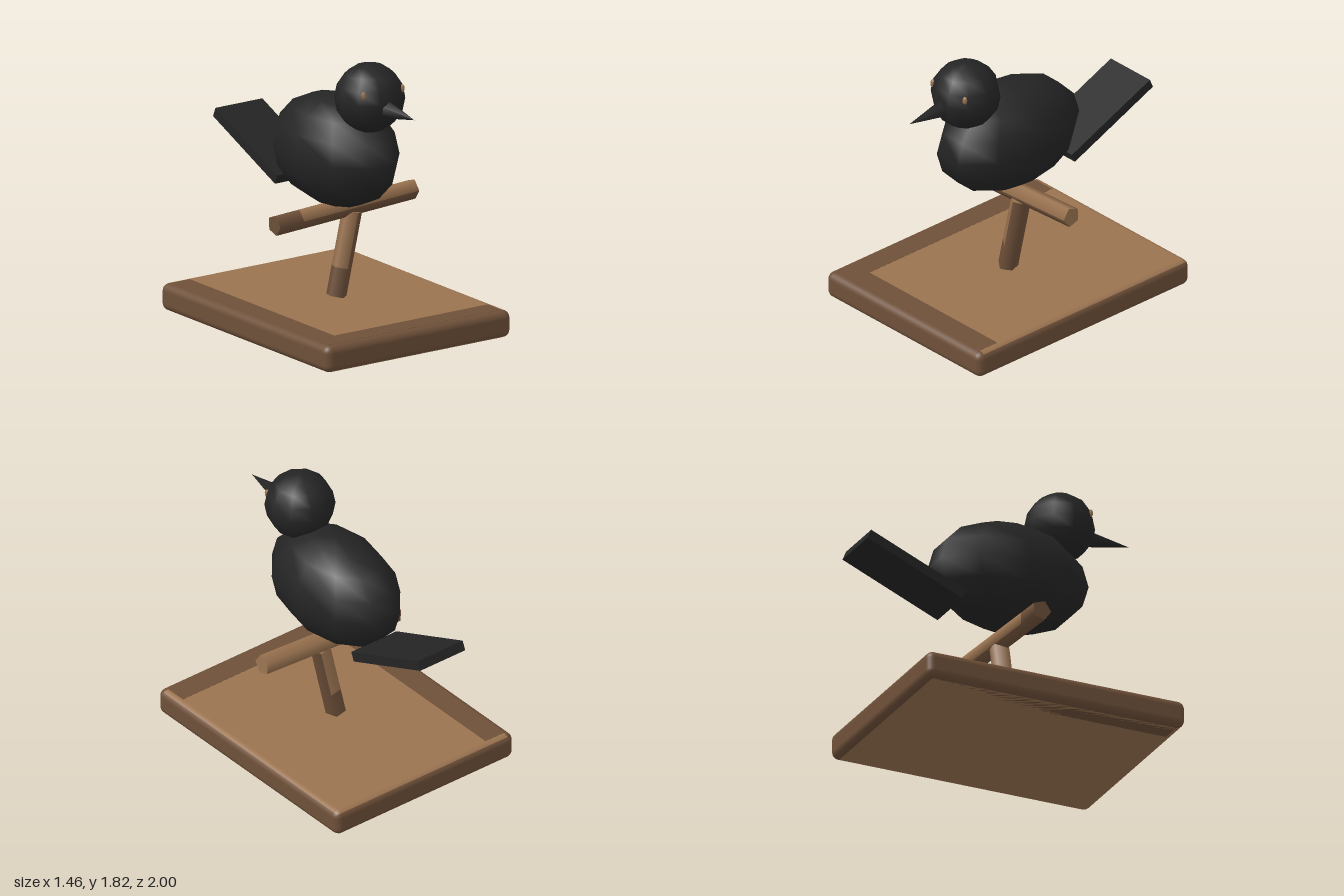
import * as THREE from 'three';
import { RoundedBoxGeometry } from 'three/addons/geometries/RoundedBoxGeometry.js';

const material = (name, color) => {
  const m = new THREE.MeshStandardMaterial({ color });
  m.name = name;
  return m;
};

export function createModel() {
  const black = material('black feathers', 0x242424);
  const light = material('light wood', 0x9a7350);
  const dark = material('dark wood', 0x6e5039);
  const model = new THREE.Group();
  model.name = 'birdOnPerch';

  function add(name, geometry, mat, position = [0, 0, 0], parent = model) {
    const mesh = new THREE.Mesh(geometry, mat);
    mesh.name = name;
    mesh.position.set(...position);
    parent.add(mesh);
    return mesh;
  }

  // Base slab: light top and bottom, dark sides and two dark borders on each
  const slab = new RoundedBoxGeometry(1.46, 0.18, 1.83, 3, 0.05);
  slab.translate(0, 0.09, 0.085);
  const faces = slab.groups.map((g) => ({ ...g }));
  const p = slab.attributes.position;
  slab.clearGroups();
  faces.forEach((face, side) => {
    for (let i = face.start; i < face.start + face.count; i += 3) {
      const x = (p.getX(i) + p.getX(i + 1) + p.getX(i + 2)) / 3;
      const z = (p.getZ(i) + p.getZ(i + 1) + p.getZ(i + 2)) / 3;
      const isLight = x > -0.68 && ((side === 2 && z < 0.95) || (side === 3 && z > -0.78));
      slab.addGroup(i, 3, isLight ? 0 : 1);
    }
  });
  add('base', slab, [light, dark]);
  for (const [name, y, z] of [['top', 0.18, 0.875], ['bottom', 0.001, -0.705]]) {
    add(name + 'SideBorder', new THREE.BoxGeometry(0.15, 0.002, 1.73), dark, [-0.605, y, 0.085]);
    add(name + 'EndBorder', new THREE.BoxGeometry(1.21, 0.002, 0.15), dark, [0.075, y, z]);
  }

  // Five-sided stick along +y, dark at its foot and on one side
  function stick(name, length, position, tilt) {
    const r = 0.068, foot = 0.19, step = Math.PI * 2 / 5;
    const group = new THREE.Group();
    group.name = name;
    const part = (label, h, y, sides, first, mat) => add(label,
      new THREE.CylinderGeometry(r, r, h, sides, 1, true, first * step, sides * step), mat, [0, y, 0], group);
    part(name + 'Foot', foot, foot / 2, 5, 0, dark);
    part(name + 'DarkSide', length - foot, (length + foot) / 2, 2, 0, dark);
    part(name + 'LightSide', length - foot, (length + foot) / 2, 3, 2, light);
    const cap = new THREE.CircleGeometry(r, 5, Math.PI / 2);
    add(name + 'StartCap', cap.clone().rotateX(Math.PI / 2), dark, [0, 0, 0], group);
    add(name + 'EndCap', cap.clone().rotateZ(Math.PI).rotateX(-Math.PI / 2), light, [0, length, 0], group);
    group.position.set(...position);
    group.rotation.z = tilt;
    model.add(group);
  }
  stick('post', 0.56, [0, 0.185, 0.088], -0.225);
  stick('branch', 1.097, [-0.49, 0.737, 0.088], -Math.PI / 2 + 0.055);

  // Bird body, head and beak
  add('body', new THREE.SphereGeometry(1, 10, 8), black, [0, 1.165, 0.085]).scale.set(0.33, 0.365, 0.55);
  add('head', new THREE.SphereGeometry(0.228, 10, 8), black, [0, 1.595, 0.452]);
  add('beak', new THREE.ConeGeometry(0.066, 0.33, 6).rotateX(Math.PI / 2), black, [0, 1.557, 0.775]);

  // Tail rising to the back
  add('tail', new THREE.BoxGeometry(0.37, 0.066, 0.735), black, [0, 1.04, -0.65]).rotation.x = 0.406;

  // Eyes
  for (const s of [-1, 1]) {
    add(s > 0 ? 'leftEye' : 'rightEye', new THREE.SphereGeometry(1, 6, 6), light,
      [s * 0.152, 1.662, 0.597]).scale.set(0.018, 0.028, 0.016);
  }
  return model;
}
